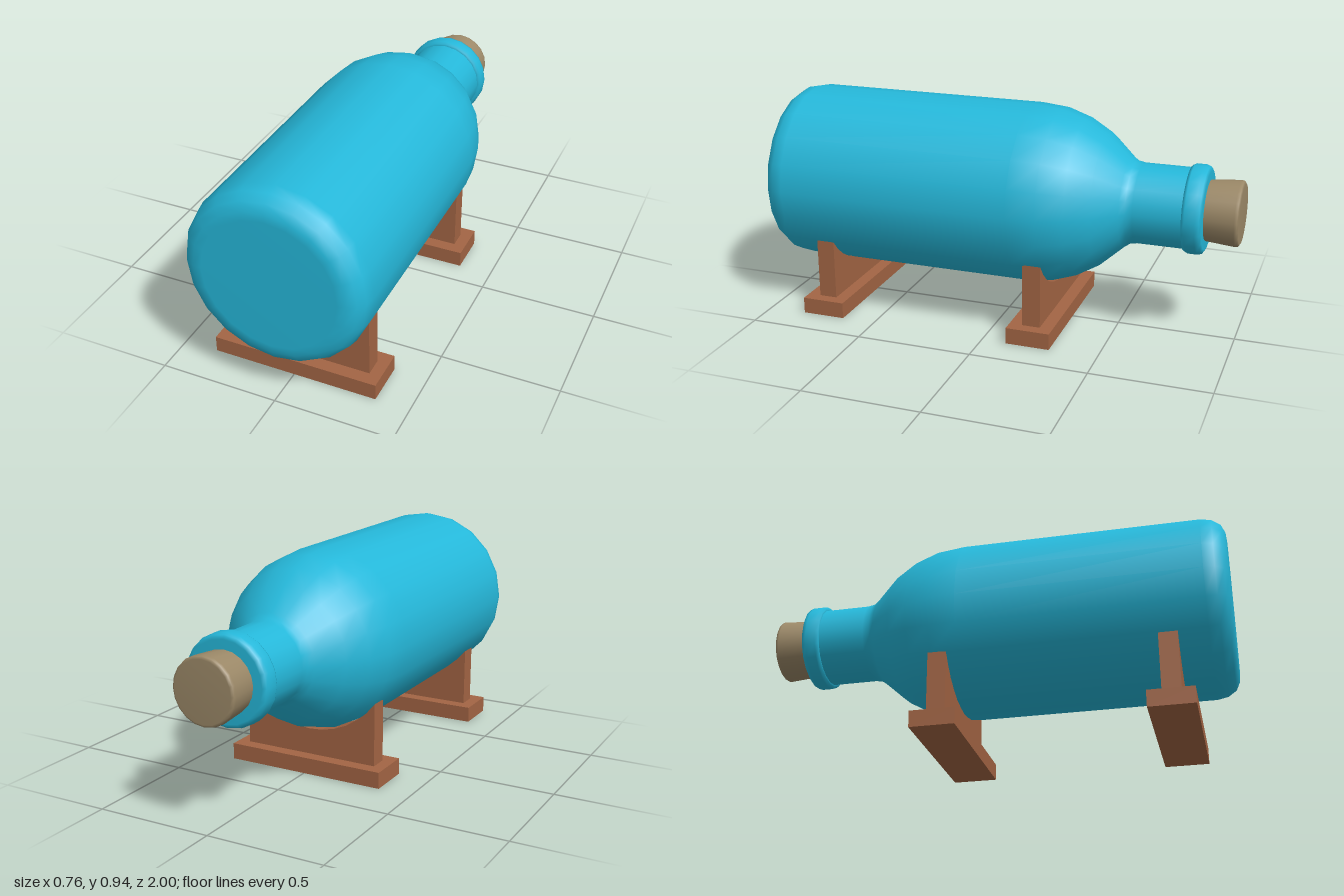
import * as THREE from 'three';

const SIDES = 20;
const AXIS_Y = 0.558;

const material = (name, color) => {
  const m = new THREE.MeshStandardMaterial({ color });
  m.name = name;
  return m;
};

export function createModel() {
  const glass = material('blue glass', 0x25b8da);
  const wood = material('red brown wood', 0xa36544);
  const cork = material('cork', 0x9c8968);
  const model = new THREE.Group();
  model.name = 'bottleOnStand';

  const add = (name, geometry, mat, parent = model) => {
    const mesh = new THREE.Mesh(geometry, mat);
    mesh.name = name;
    parent.add(mesh);
    return mesh;
  };

  // Turned part lying along z; profile is [radius, distance towards the neck]
  const turned = (name, profile, mat) => {
    const points = profile.map(([r, d]) => new THREE.Vector2(r, d));
    const geometry = new THREE.LatheGeometry(points, SIDES).rotateX(-Math.PI / 2);
    add(name, geometry, mat).position.y = AXIS_Y;
  };

  // Bottle: flat base, straight body, round shoulder, neck
  turned('bottleBody', [
    [0, -1], [0.28, -1], [0.315, -0.997], [0.35, -0.98], [0.373, -0.945], [0.382, -0.9],
    [0.382, 0.11], [0.37, 0.23], [0.335, 0.335], [0.28, 0.43], [0.192, 0.527],
    [0.175, 0.55], [0.169, 0.58], [0.169, 0.8],
  ], glass);
  turned('bottleLip', [
    [0.165, 0.78], [0.179, 0.78], [0.186, 0.793], [0.186, 0.835],
    [0.18, 0.852], [0.165, 0.86], [0, 0.86],
  ], glass);

  // Tapered stopper
  turned('stopper', [
    [0.126, 0.85], [0.137, 0.983], [0.134, 0.994], [0.124, 1], [0, 1],
  ], cork);

  // Two cradles, each a foot and an upright with a round saddle
  const cradle = (name, z, radius) => {
    const group = new THREE.Group();
    group.name = name;
    group.position.z = z;
    model.add(group);

    add('foot', new THREE.BoxGeometry(0.71, 0.07, 0.188), wood, group).position.y = 0.035;

    const half = 0.305;
    const reach = Math.asin(half / radius);
    const shape = new THREE.Shape();
    shape.moveTo(-half, 0.07);
    shape.lineTo(half, 0.07);
    for (let i = 0; i <= 12; i++) {
      const a = reach * (1 - i / 6);
      shape.lineTo(radius * Math.sin(a), AXIS_Y - radius * Math.cos(a));
    }
    const upright = new THREE.ExtrudeGeometry(shape, { depth: 0.078, bevelEnabled: false });
    add('upright', upright.translate(0, 0, -0.039), wood, group);
  };
  cradle('frontCradle', 0.741, 0.381);
  cradle('backCradle', -0.2, 0.375);

  return model;
}
